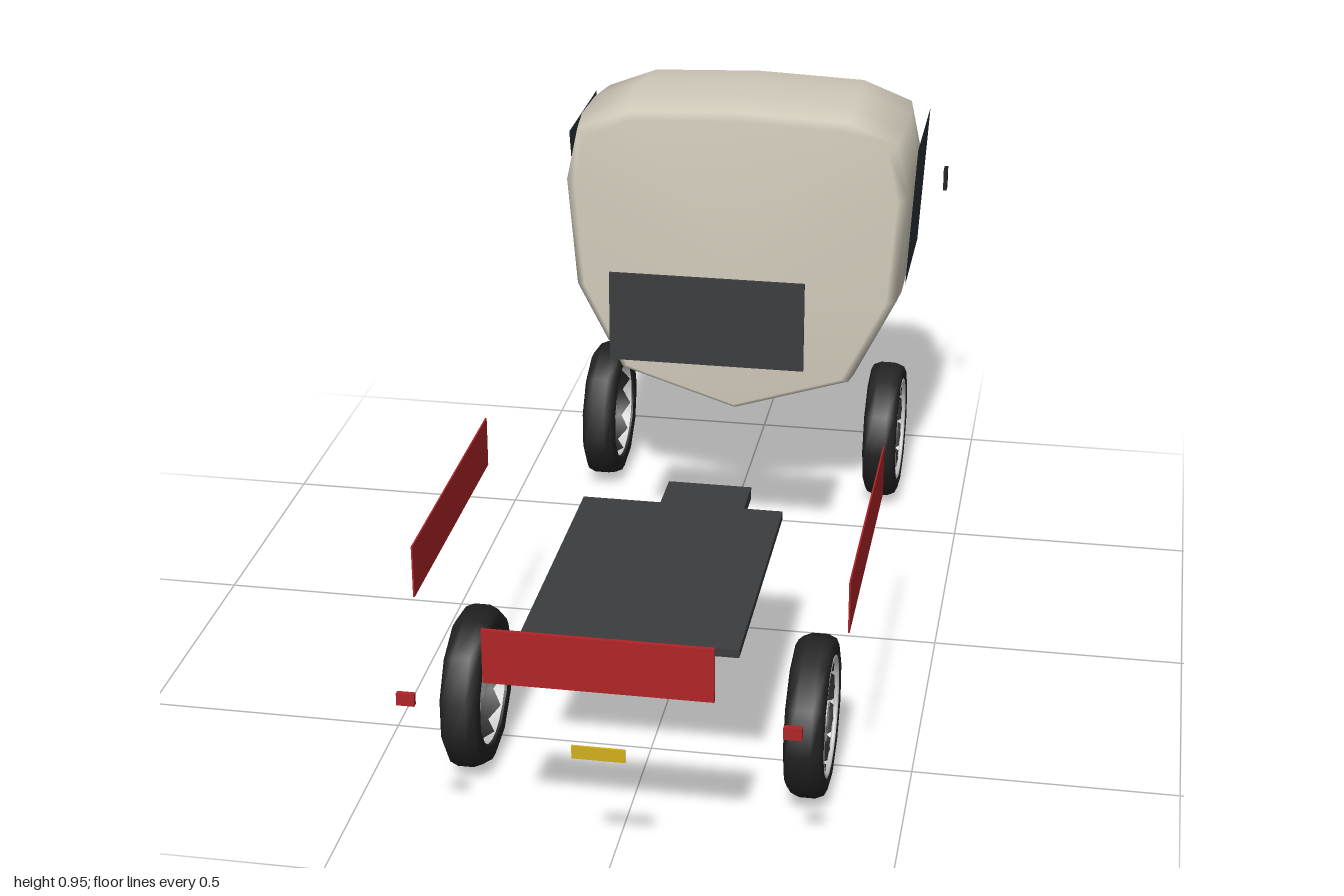
import * as THREE from 'three';

const mat = (color, side = THREE.FrontSide) => new THREE.MeshStandardMaterial({ color, side });
const cream = mat(0xd2ccbc), dark = mat(0x3a3c3e), black = mat(0x222222), red = mat(0xb02427);
const yellow = mat(0xd2b01c), glass = mat(0x2a3236, THREE.DoubleSide), redSheet = mat(0xb02427, THREE.DoubleSide);
const metal = mat(0xcccccc, THREE.DoubleSide);

function add(parent, name, geometry, material, x = 0, y = 0, z = 0) {
  const mesh = new THREE.Mesh(geometry, material);
  mesh.name = name;
  mesh.position.set(x, y, z);
  parent.add(mesh);
  return mesh;
}

// Box given by its limits on each axis
function box(parent, name, material, [x0, x1], [y0, y1], [z0, z1]) {
  return add(parent, name, new THREE.BoxGeometry(x1 - x0, y1 - y0, z1 - z0), material,
    (x0 + x1) / 2, (y0 + y1) / 2, (z0 + z1) / 2);
}

function panel(points) {
  return new THREE.ShapeGeometry(new THREE.Shape(points.map(([x, y]) => new THREE.Vector2(x, y))));
}

// Cab shell: one outline swept through rings, each with its own width, top and bottom scale
function cabGeometry() {
  const half = [[0, 0.24], [0.255, 0.325], [0.355, 0.53], [0.375, 0.78], [0.35, 0.9], [0.24, 0.945], [0, 0.955]];
  const outline = [...half, ...half.slice(1, -1).reverse().map(([x, y]) => [-x, y])];
  const rings = [
    [-0.506, 0.93, 0.93, 0.9], [-0.525, 0.985, 0.97, 0.94], [-0.6, 1, 1, 1], [-0.74, 1, 0.98, 1],
    [-0.86, 0.975, 0.94, 1], [-0.94, 0.92, 0.85, 0.99], [-0.965, 0.87, 0.77, 0.97], [-0.975, 0.8, 0.68, 0.9],
  ];
  const n = outline.length, pos = [], index = [], mid = 0.6;
  for (const [z, sx, top, bottom] of rings)
    for (const [x, y] of outline) pos.push(x * sx, mid + (y - mid) * (y > mid ? top : bottom), z);
  const last = (rings.length - 1) * n, back = rings.length * n, front = back + 1;
  pos.push(0, mid, rings[0][0], 0, mid, rings.at(-1)[0] - 0.002);
  for (let j = 0; j < n; j++) {
    const k = (j + 1) % n;
    for (let i = 0; i < last; i += n)
      index.push(i + j, i + n + j, i + k, i + k, i + n + j, i + n + k);
    index.push(back, j, k, front, last + k, last + j);
  }
  const g = new THREE.BufferGeometry();
  g.setAttribute('position', new THREE.Float32BufferAttribute(pos, 3));
  g.setIndex(index);
  g.computeVertexNormals();
  return g;
}

// Wheel around the x axis, outer face towards +x
function wheel() {
  const g = new THREE.Group();
  g.name = 'wheel';
  const section = [[0.114, -0.034], [0.135, -0.037], [0.147, -0.031], [0.154, -0.015], [0.154, 0.015],
    [0.147, 0.031], [0.135, 0.037], [0.114, 0.034], [0.108, 0], [0.114, -0.034]];
  add(g, 'tire', new THREE.LatheGeometry(section.map(([r, h]) => new THREE.Vector2(r, h)), 11), black).rotation.z = -Math.PI / 2;
  add(g, 'rim', new THREE.CylinderGeometry(0.112, 0.108, 0.06, 22, 1, true), metal).rotation.z = -Math.PI / 2;
  add(g, 'rimLip', new THREE.TorusGeometry(0.112, 0.005, 6, 22), metal, 0.031).rotation.y = Math.PI / 2;
  add(g, 'hub', new THREE.CylinderGeometry(0.02, 0.024, 0.04, 12), metal, 0.008).rotation.z = -Math.PI / 2;
  const spoke = new THREE.BoxGeometry(0.01, 0.095, 0.011).translate(0, 0.062, 0);
  for (let i = 0; i < 10; i++) add(g, 'spoke', spoke, metal, 0.015).rotation.x = i * Math.PI / 5;
  return g;
}

export function createModel() {
  const model = new THREE.Group();
  model.name = 'flatbedTruck';

  // Cab with windshield, grille and bumper, all facing -z
  const cab = new THREE.Group();
  cab.name = 'cab';
  model.add(cab);
  add(cab, 'cabShell', cabGeometry(), cream);
  add(cab, 'windshield', panel([[-0.33, 0.6], [0.33, 0.6], [0.325, 0.79], [0.28, 0.845], [-0.28, 0.845], [-0.325, 0.79]]), glass, 0, 0, -0.979);
  add(cab, 'grille', panel([[-0.26, 0.4], [-0.15, 0.33], [0.15, 0.33], [0.26, 0.4]]), redSheet, 0, 0, -0.979);
  box(cab, 'bumper', black, [-0.183, 0.183], [0.236, 0.265], [-1, -0.98]);

  for (const s of [1, -1]) {
    // Cab sides
    const win = add(cab, 'sideWindow', panel([[-0.145, -0.155], [0.14, -0.155], [0.15, 0.155], [-0.145, 0.155]]), glass, s * 0.371, 0.7, -0.75);
    win.rotation.set(0, Math.PI / 2, s * 0.0);
    win.geometry.applyMatrix4(new THREE.Matrix4().makeShear(0, 0, 0, s * 0.058, 0, 0));
    box(cab, 'mirror', black, [s * 0.421 - 0.004, s * 0.421 + 0.004], [0.672, 0.721], [-0.9, -0.873]);
    add(cab, 'headlight', new THREE.SphereGeometry(0.036, 14, 10), metal, s * 0.29, 0.465, -0.972).scale.z = 0.45;

    // Bed sides and tail lights
    box(model, 'sideBoard', red, [s * 0.395 - 0.0015, s * 0.395 + 0.0015], [0.405, 0.507], [0.145, 0.707]);
    box(model, 'tailLight', red, [s * 0.335 - 0.016, s * 0.335 + 0.016], [0.352, 0.375], [0.985, 0.995]);

    // Wheels
    for (const z of [0.578, -0.706]) {
      const w = wheel();
      w.position.set(s * 0.319, 0.154, z);
      if (s < 0) w.rotation.y = Math.PI;
      model.add(w);
    }
  }

  // Chassis and bed
  box(model, 'chassisRail', dark, [-0.088, 0.088], [0.206, 0.232], [-0.19, 0.55]);
  box(model, 'bedFloor', dark, [-0.2, 0.2], [0.334, 0.35], [0.145, 0.705]);
  box(model, 'headboard', dark, [-0.2, 0.2], [0.53, 0.72], [-0.14, -0.134]);
  box(model, 'tailgate', red, [-0.2, 0.2], [0.405, 0.507], [0.976, 0.984]);
  box(model, 'rearPlate', yellow, [-0.047, 0.047], [0.273, 0.298], [0.984, 0.988]);
  return model;
}
